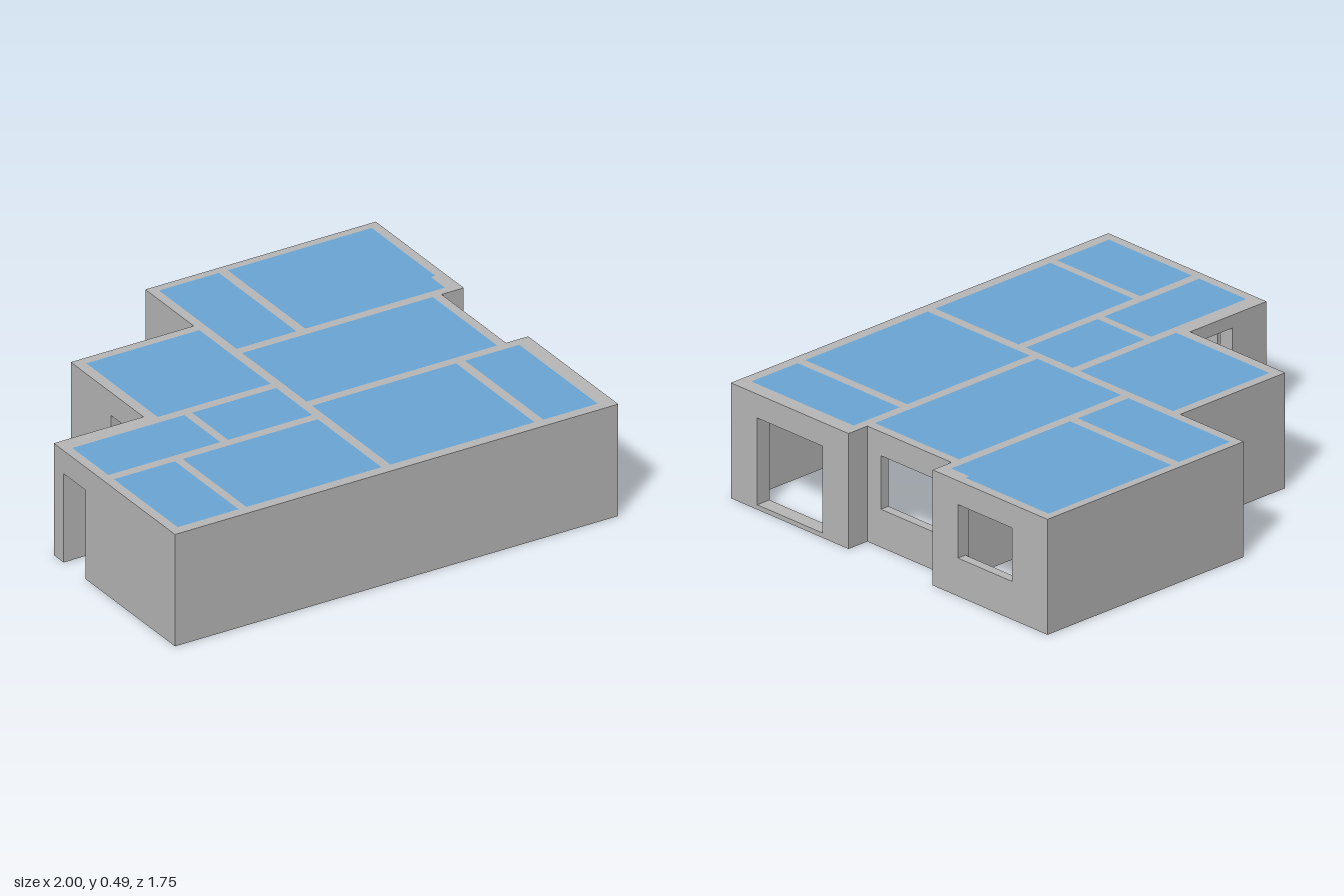
import * as THREE from 'three';

const H = 0.485;   // wall height
const HEAD = 0.385; // underside of beams and heads of openings

export function createModel() {
  const model = new THREE.Group();
  const wallGrey = new THREE.MeshStandardMaterial({ color: 0xb9b9b9 });
  wallGrey.name = 'wallGrey';
  const ceilingBlue = new THREE.MeshStandardMaterial({ color: 0x6aa6d6 });
  ceilingBlue.name = 'ceilingBlue';

  // Wall running along 'x' or 'z' from s0 to s1, occupying t0..t1 across.
  // Openings are [from, to, bottom, top]; bottom 0 makes a doorway.
  function wall(name, axis, s0, s1, t0, t1, openings = [], base = 0) {
    const shape = new THREE.Shape();
    shape.moveTo(s0, base);
    for (const [a, b, y0, y1] of openings) {
      if (y0 === 0) {
        shape.lineTo(a, 0);
        shape.lineTo(a, y1);
        shape.lineTo(b, y1);
        shape.lineTo(b, 0);
      } else {
        const hole = new THREE.Path();
        hole.moveTo(a, y0);
        hole.lineTo(a, y1);
        hole.lineTo(b, y1);
        hole.lineTo(b, y0);
        hole.closePath();
        shape.holes.push(hole);
      }
    }
    shape.lineTo(s1, base);
    shape.lineTo(s1, H);
    shape.lineTo(s0, H);
    shape.closePath();
    const geo = new THREE.ExtrudeGeometry(shape, { depth: t1 - t0, bevelEnabled: false });
    if (axis === 'x') geo.translate(0, 0, t0);
    else geo.rotateY(-Math.PI / 2).translate(t1, 0, 0);
    const mesh = new THREE.Mesh(geo, wallGrey);
    mesh.name = name;
    model.add(mesh);
  }
  const beam = (name, axis, s0, s1, t0, t1, y = HEAD) => wall(name, axis, s0, s1, t0, t1, [], y);

  // Outer walls, front and east side
  wall('frontWall', 'x', -1, 1, 0.83, 0.875);
  wall('frontEastWall', 'z', 0.225, 0.83, 0.935, 1, [[0.37, 0.73, 0.02, HEAD]]);
  wall('frontEastReturn', 'x', 0.86, 0.935, 0.225, 0.265);
  wall('middleEastWall', 'z', -0.24, 0.225, 0.86, 0.9, [[-0.15, 0.15, 0.16, HEAD]]);
  wall('backEastWall', 'z', -0.84, -0.24, 0.96, 1, [[-0.68, -0.38, 0.16, HEAD]]);
  wall('backEastPier', 'z', -0.38, -0.28, 0.94, 0.96);

  // Outer walls, back and west side
  wall('backWall', 'x', -0.04, 1, -0.875, -0.84);
  wall('northWestBackWall', 'x', -0.595, -0.04, -0.525, -0.485);
  wall('northWestSideWall', 'z', -0.485, 0.07, -0.595, -0.55, [[-0.235, 0.01, 0.16, HEAD]]);
  wall('westWall', 'z', 0.07, 0.83, -1, -0.96, [[0.071, 0.23, 0, HEAD]]);
  wall('westBackPier', 'x', -1, -0.82, 0, 0.07);
  beam('westBackLintel', 'x', -0.82, -0.595, 0, 0.07, 0.43);

  // Inner walls
  wall('spineWall', 'z', -0.84, 0.07, -0.04, 0, [[-0.13, 0.02, 0, 0.365]]);
  wall('backRoomsDivider', 'z', -0.84, -0.28, 0.27, 0.31);
  wall('backRoomsFrontWall', 'x', 0, 0.96, -0.28, -0.24, [[0.31, 0.57, 0, HEAD]]);
  wall('northWestFrontWall', 'x', -0.55, -0.04, 0.03, 0.07);
  wall('westRoomsDivider', 'z', 0.07, 0.37, -0.455, -0.42, [[0.1, 0.23, 0.32, 0.37]]);

  // Beams over the open plan front half
  beam('spineBeam', 'z', 0.07, 0.83, -0.04, 0);
  beam('eastCrossBeam', 'x', 0, 0.86, 0.225, 0.265);
  beam('frontEastBeam', 'z', 0.265, 0.83, 0.65, 0.69);
  beam('frontWestBeam', 'z', 0.37, 0.83, -0.685, -0.65);
  beam('westCrossBeamOuter', 'x', -0.96, -0.455, 0.33, 0.37);
  beam('westCrossBeamInner', 'x', -0.42, -0.04, 0.33, 0.37);

  // Ceiling panels, flush with the wall tops: [x0, x1, z0, z1]
  const rooms = [
    [0, 0.27, -0.84, -0.28],
    [0.31, 0.94, -0.84, -0.28],
    [0.94, 0.96, -0.84, -0.38],
    [-0.55, -0.04, -0.485, 0.03],
    [0, 0.86, -0.24, 0.225],
    [-0.96, -0.455, 0.07, 0.33],
    [-0.42, -0.04, 0.07, 0.33],
    [-0.96, -0.685, 0.37, 0.83],
    [-0.65, -0.04, 0.37, 0.83],
    [0, 0.65, 0.265, 0.83],
    [0.69, 0.935, 0.265, 0.83],
  ];
  for (const [x0, x1, z0, z1] of rooms) {
    const panel = new THREE.Mesh(new THREE.BoxGeometry(x1 - x0, 0.008, z1 - z0), ceilingBlue);
    panel.position.set((x0 + x1) / 2, H - 0.004, (z0 + z1) / 2);
    panel.name = 'ceilingPanel';
    model.add(panel);
  }
  return model;
}
